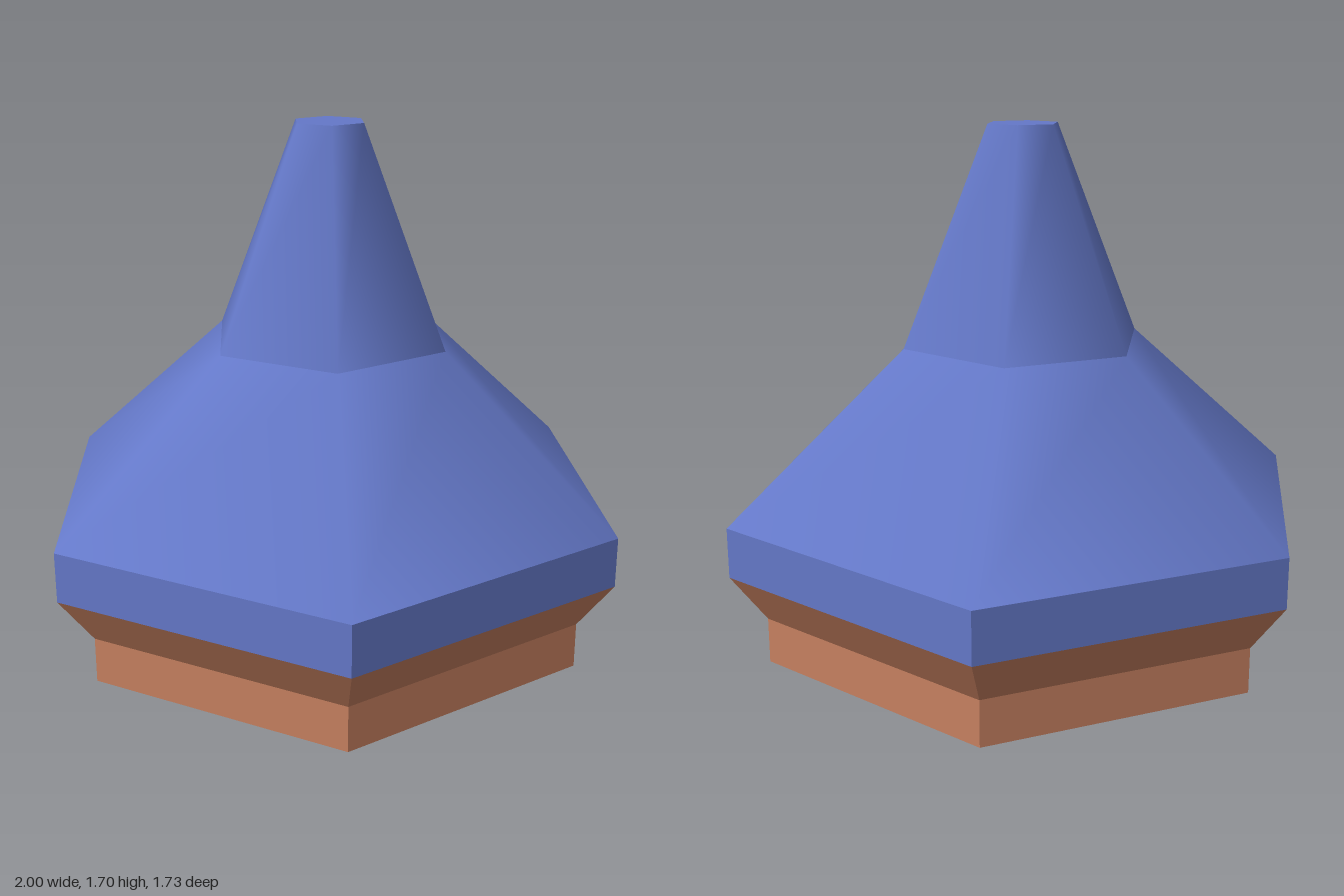
import * as THREE from 'three';

export function createModel() {
  const model = new THREE.Group();
  const blue = new THREE.MeshStandardMaterial({ name: 'blue', color: 0x6478c8 });
  const clay = new THREE.MeshStandardMaterial({ name: 'clay', color: 0xc68060 });

  // One hexagonal ring between two heights, with corners on the x axis
  function hexSection(name, material, y0, r0, y1, r1, { smooth = false, open = true } = {}) {
    let geometry = new THREE.CylinderGeometry(r1, r0, y1 - y0, 6, 1, open, Math.PI / 2);
    geometry.translate(0, (y0 + y1) / 2, 0);
    if (!smooth) {
      geometry = geometry.toNonIndexed();
      geometry.computeVertexNormals();
    }
    const mesh = new THREE.Mesh(geometry, material);
    mesh.name = name;
    model.add(mesh);
  }

  // Flat hexagonal lid, facing up or down
  function hexCap(name, material, y, radius, up) {
    const geometry = new THREE.CircleGeometry(radius, 6);
    geometry.rotateX(up ? -Math.PI / 2 : Math.PI / 2);
    geometry.translate(0, y, 0);
    const mesh = new THREE.Mesh(geometry, material);
    mesh.name = name;
    model.add(mesh);
  }

  // Clay base: upright foot, then a flare out to the rim
  hexCap('baseUnderside', clay, 0, 0.885, false);
  hexSection('baseFoot', clay, 0, 0.885, 0.15, 0.885);
  hexSection('baseFlare', clay, 0.15, 0.885, 0.31, 1);

  // Blue rim, smooth-shaded skirt and spire
  hexSection('rim', blue, 0.31, 1, 0.475, 1);
  hexSection('skirt', blue, 0.475, 1, 1, 0.41, { smooth: true });
  hexSection('spire', blue, 1, 0.41, 1.7, 0.12, { smooth: true });
  hexCap('spireTop', blue, 1.7, 0.12, true);

  return model;
}
